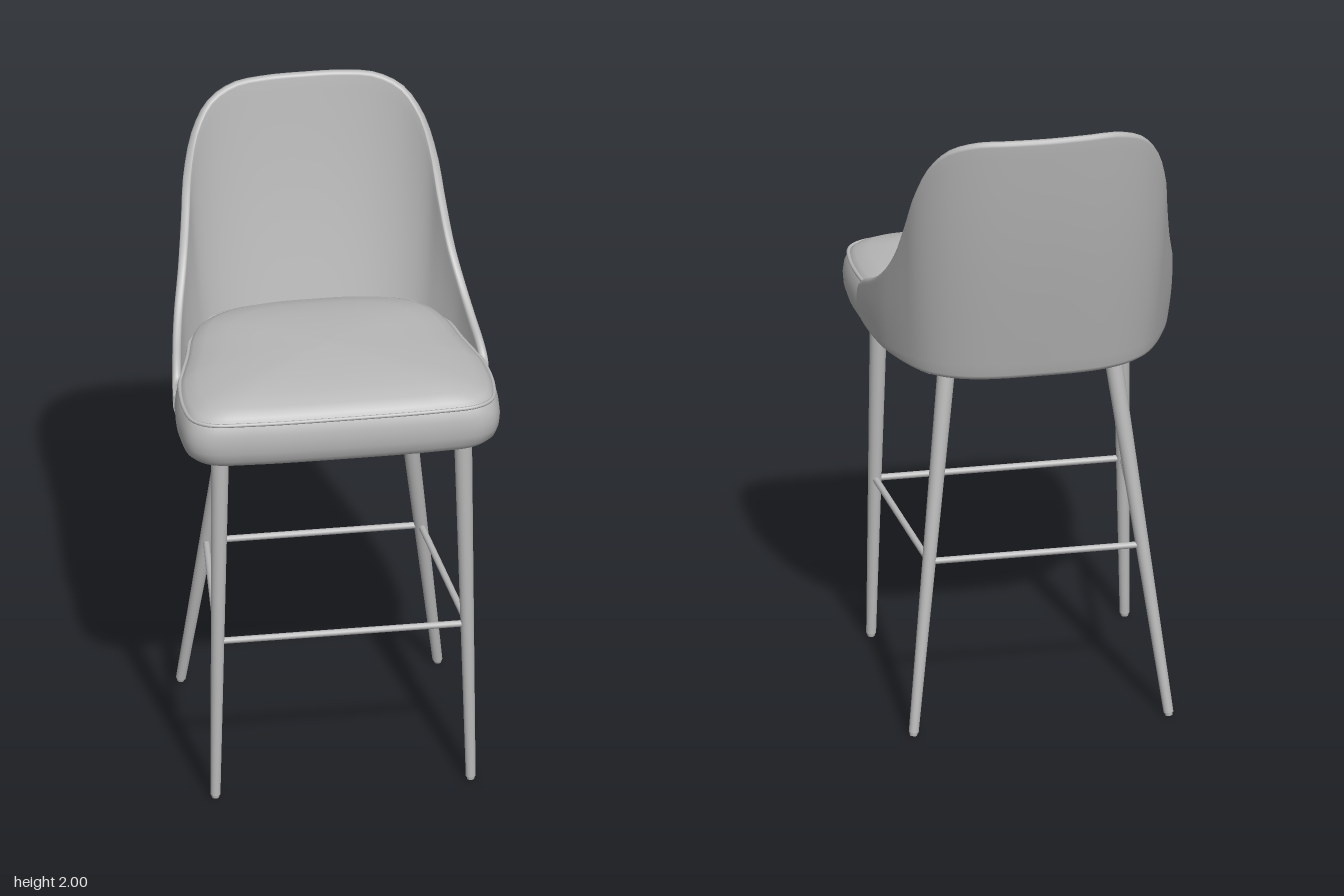
import * as THREE from 'three';

const V = (x, y, z) => new THREE.Vector3(x, y, z);
const gray = new THREE.MeshStandardMaterial({ color: 0xb8b8b8 });
gray.name = 'plain gray';

function add(parent, name, geometry) {
  const mesh = new THREE.Mesh(geometry, gray);
  mesh.name = name;
  parent.add(mesh);
  return mesh;
}

// Smooth skin over rows of points; each row is a closed loop
function skin(rows) {
  const n = rows[0].length, index = [];
  for (let i = 0; i < rows.length - 1; i++) {
    for (let j = 0; j < n; j++) {
      const k = (j + 1) % n;
      const a = i * n + j, b = i * n + k, c = a + n, d = b + n;
      index.push(a, b, c, b, d, c);
    }
  }
  const g = new THREE.BufferGeometry().setFromPoints(rows.flat());
  g.setIndex(index);
  g.computeVertexNormals();
  return g;
}

// Mirrored smooth curve from points running from the centre to the left side
function mirrored(points) {
  const left = points.map(p => V(...p));
  const right = points.slice(1).reverse().map(([x, y, z]) => V(-x, y, z));
  return new THREE.CatmullRomCurve3([...right, ...left]);
}

// Round bar between two points
function bar(parent, name, a, b, rA, rB, sides = 16) {
  const mesh = add(parent, name, new THREE.CylinderGeometry(rB, rA, a.distanceTo(b), sides));
  mesh.position.copy(a).lerp(b, 0.5);
  mesh.quaternion.setFromUnitVectors(V(0, 1, 0), b.clone().sub(a).normalize());
  return mesh;
}

function makeSeat(group) {
  const half = [[0, .447], [.3, .442], [.42, .428], [.468, .39], [.485, .3], [.476, .16], [.46, .1],
    [.43, 0], [.4, -.12], [.36, -.2], [.28, -.255], [.15, -.285], [0, -.29]];
  const other = half.slice(1, -1).reverse().map(([x, z]) => [-x, z]);
  const outline = new THREE.CatmullRomCurve3([...half, ...other].map(([x, z]) => V(x, 0, z)), true);
  const points = outline.getPoints(120).slice(0, -1);
  const ring = (s, y) => points.map(p => V(p.x * s, y, .08 + (p.z - .08) * s));
  // scale of the outline and height, from the underside up to the crown
  const profile = [[0, 1.15], [.88, 1.15], [.935, 1.155], [.975, 1.175], [.995, 1.205], [1, 1.235],
    [.993, 1.265], [.968, 1.298], [.93, 1.315], [.85, 1.334], [.7, 1.35], [.5, 1.36], [.25, 1.366], [0, 1.368]];
  add(group, 'seatCushion', skin(profile.map(([s, y]) => ring(s, y))));
  const seam = new THREE.CatmullRomCurve3(ring(.967, 1.3), true);
  add(group, 'seatPiping', new THREE.TubeGeometry(seam, 160, .006, 8, true));
}

function makeBack(group) {
  const rim = mirrored([[0, 2, -.452], [.12, 2, -.447], [.22, 1.994, -.428], [.3, 1.96, -.392],
    [.352, 1.89, -.345], [.385, 1.78, -.29], [.402, 1.65, -.225], [.42, 1.53, -.16], [.443, 1.435, -.08],
    [.46, 1.375, .005], [.472, 1.335, .085], [.477, 1.3, .127], [.475, 1.25, .143]]);
  const base = mirrored([[0, 1.142, -.3], [.12, 1.142, -.298], [.2, 1.142, -.287], [.265, 1.142, -.265],
    [.315, 1.143, -.235], [.35, 1.144, -.2], [.38, 1.146, -.155], [.405, 1.148, -.105], [.427, 1.15, -.05],
    [.445, 1.154, .015], [.458, 1.16, .08], [.465, 1.168, .122], [.47, 1.185, .138]]);

  // Outer face, swelling slightly between its lower edge and rim
  const outer = (u, v) => {
    const t = (u + 1) / 2;
    const p = base.getPoint(t).lerp(rim.getPoint(t), v);
    const swell = 1 + .03 * Math.sin(Math.PI * v);
    return V(p.x * (1 + (swell - 1) * .4), p.y, p.z < 0 ? p.z * swell : p.z);
  };

  const section = u => {
    const end = Math.max(0, (Math.abs(u) - .95) / .05);
    const taper = Math.max(.05, Math.sqrt(Math.max(0, 1 - end * end)));
    const place = (v, angle) => {
      const e = .01, u0 = Math.max(-1, u - e), u1 = Math.min(1, u + e);
      const along = outer(u1, v).sub(outer(u0, v));
      const up = outer(u, Math.min(1, v + e)).sub(outer(u, Math.max(0, v - e))).normalize();
      const inward = along.cross(up).normalize();
      const h = (.022 - .009 * v) * taper;
      return outer(u, v)
        .addScaledVector(inward, h - h * Math.cos(angle))
        .addScaledVector(up, (1 - 2 * v) * h + h * Math.sin(angle));
    };
    const loop = [], n = 20, arc = 6;
    for (let i = 0; i < n; i++) loop.push(place(i / n, 0));
    for (let i = 0; i < arc; i++) loop.push(place(1, Math.PI * i / arc));
    for (let i = 0; i < n; i++) loop.push(place(1 - i / n, Math.PI));
    for (let i = 0; i < arc; i++) loop.push(place(0, Math.PI + Math.PI * i / arc));
    return loop;
  };

  const rows = [];
  for (let i = 0; i <= 100; i++) rows.push(section(Math.sin(Math.PI / 2 * (i / 50 - 1))));
  // close both arm ends at their middles
  const collapse = row => {
    const c = row.reduce((s, p) => s.add(p), V(0, 0, 0)).divideScalar(row.length);
    return row.map(() => c.clone());
  };
  rows.unshift(collapse(rows[0]));
  rows.push(collapse(rows[rows.length - 1]));
  add(group, 'backShell', skin(rows));
}

function makeBase(group) {
  const legs = [];
  for (const [sx, front] of [[1, true], [-1, true], [-1, false], [1, false]]) {
    const top = front ? V(.368 * sx, 1.145, .36) : V(.25 * sx, 1.145, -.12);
    const foot = front ? V(.386 * sx, .012, .392) : V(.388 * sx, .012, -.315);
    const name = front ? 'frontLeg' : 'rearLeg';
    bar(group, name, foot, top, .015, .027, 20);
    const tip = foot.clone().lerp(top, -.009);
    bar(group, name + 'Tip', tip, foot, .011, .013, 16);
    legs.push({ top, foot });
  }
  // ring of footrest bars
  const joints = legs.map(({ top, foot }) => foot.clone().lerp(top, .458));
  joints.forEach((p, i) => bar(group, 'footrestBar', p, joints[(i + 1) % 4], .01, .01, 12));
  // crossed mounting bars under the seat
  for (let i = 0; i < 2; i++) {
    const a = legs[i].top, b = legs[i + 2].top;
    const d = b.clone().sub(a);
    const strap = add(group, 'mountingBar', new THREE.BoxGeometry(.035, .016, d.length() + .12));
    strap.position.copy(a).lerp(b, .5).setY(1.145);
    strap.position.addScaledVector(d.normalize(), .04);
    strap.rotation.y = Math.atan2(d.x, d.z);
  }
}

export function createModel() {
  const group = new THREE.Group();
  group.name = 'barStool';
  makeSeat(group);
  makeBack(group);
  makeBase(group);
  return group;
}
